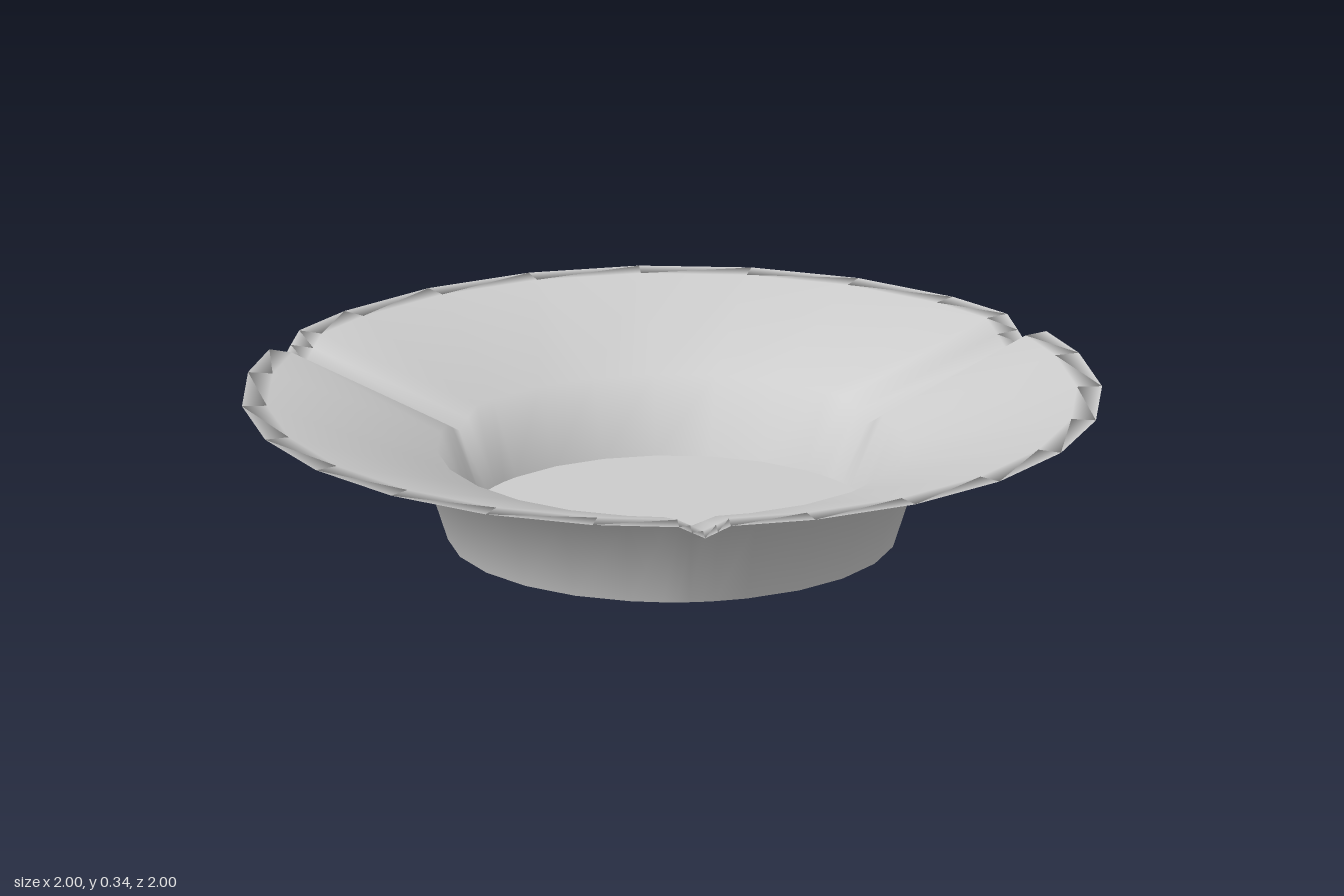
import * as THREE from 'three';

// Wall profile [radius, height, groove strength]: up the outside, over the rim, down the inside
const PROFILE = [
  [0.52, 0, 0], [0.585, 0.2, 0.75], [0.998, 0.335, 1],
  [0.94, 0.335, 1], [0.545, 0.215, 0.8], [0.475, 0.04, 0],
];
// Three rests pressed into the rim, 120 degrees apart
const GROOVES = [
  { at: 0, width: 0.06, depth: 0.028 },
  { at: 8, width: 0.08, depth: 0.058 },
  { at: 16, width: 0.08, depth: 0.048 },
];
const SIDES = 24;

// One ring of points; each groove replaces its corner with a small rounded dip
function ring([radius, height, strength]) {
  const points = [];
  const add = (angle, y) =>
    points.push(new THREE.Vector3(radius * Math.sin(angle), y, radius * Math.cos(angle)));
  for (let i = 0; i < SIDES; i++) {
    const angle = (i / SIDES) * Math.PI * 2;
    const groove = GROOVES.find((g) => g.at === i);
    if (!groove) {
      add(angle, height);
      continue;
    }
    for (const k of [-1, -0.5, 0, 0.5, 1]) {
      const dip = groove.depth * strength * (0.5 + 0.5 * Math.cos(k * Math.PI));
      add(angle + (k * groove.width) / radius, height - dip);
    }
  }
  return points;
}

function makeMesh(name, points, index, material) {
  const geometry = new THREE.BufferGeometry().setFromPoints(points);
  geometry.setIndex(index);
  geometry.computeVertexNormals();
  const mesh = new THREE.Mesh(geometry, material);
  mesh.name = name;
  return mesh;
}

// Flat disc filling a ring, facing up or down
function disc(name, points, up, material) {
  const n = points.length;
  const index = [];
  for (let j = 0; j < n; j++) {
    const k = (j + 1) % n;
    index.push(n, up ? j : k, up ? k : j);
  }
  return makeMesh(name, [...points, new THREE.Vector3(0, points[0].y, 0)], index, material);
}

export function createModel() {
  const group = new THREE.Group();
  group.name = 'ashtray';
  const material = new THREE.MeshStandardMaterial({ color: 0xcccccc });
  const rings = PROFILE.map(ring);
  const n = rings[0].length;

  // Flared wall with rim and grooves, smooth all round
  const index = [];
  for (let i = 0; i < rings.length - 1; i++) {
    for (let j = 0; j < n; j++) {
      const k = (j + 1) % n;
      const a = i * n + j, b = i * n + k;
      index.push(a, b, b + n, a, b + n, a + n);
    }
  }
  group.add(makeMesh('wall', rings.flat(), index, material));

  // Inside floor and underside
  group.add(disc('floor', rings[rings.length - 1], true, material));
  group.add(disc('base', rings[0], false, material));
  return group;
}
